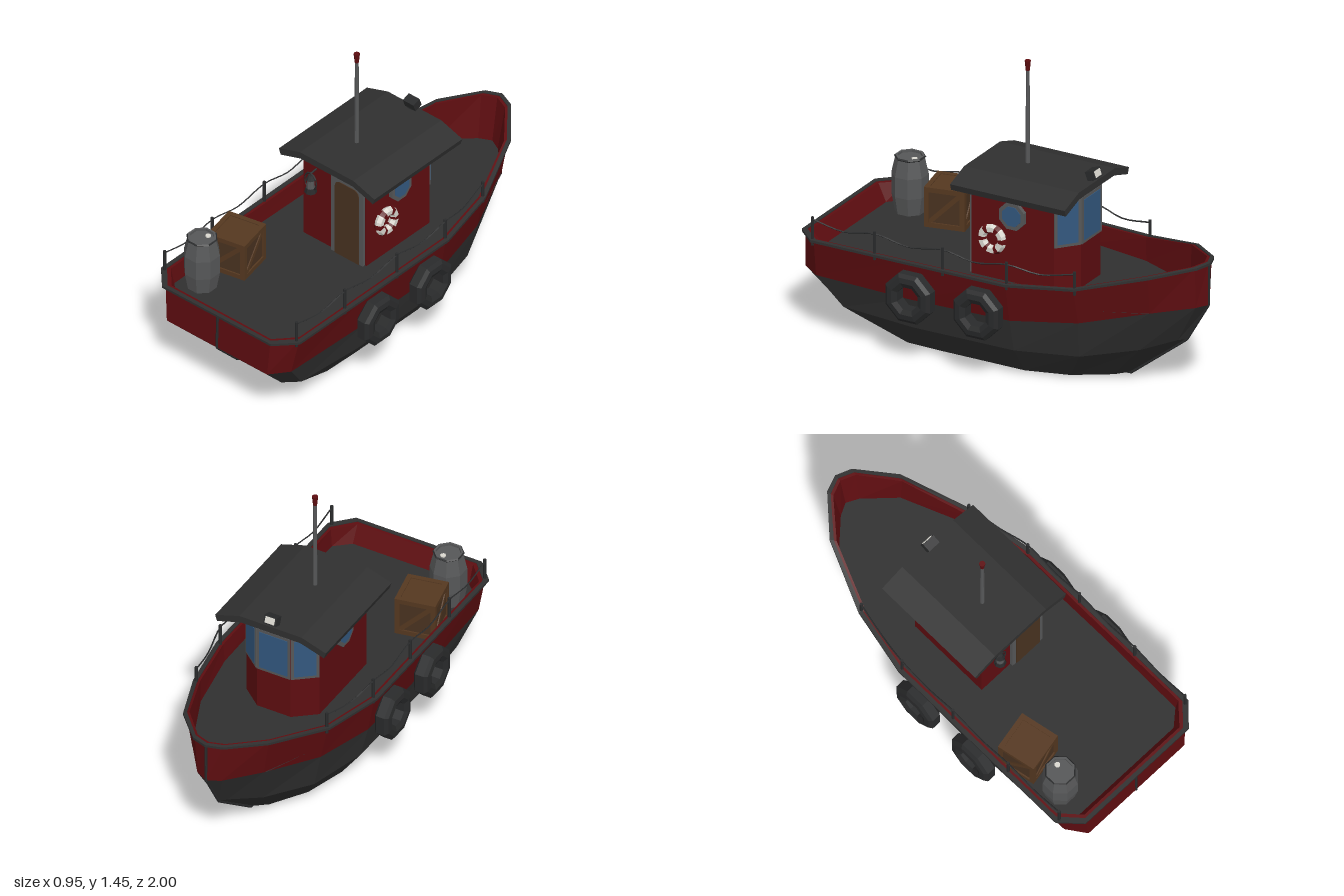
import * as THREE from 'three';

const mat = (name, color) => { const m = new THREE.MeshStandardMaterial({ color }); m.name = name; return m; };

export function createModel() {
  const red = mat('dark red paint', 0x5e0d10);
  const dark = mat('charcoal paint', 0x303030);
  const rubber = mat('black rubber', 0x292a2b);
  const grey = mat('grey metal', 0x565758);
  const glass = mat('blue glass', 0x33587f);
  const wood = mat('crate wood', 0x553820);
  const door = mat('dark wood', 0x493220);
  const white = mat('white paint', 0xdad8d0);

  const boat = new THREE.Group();
  boat.name = 'boat';

  // Faceted mesh helper
  function add(name, geo, material, pos = [0, 0, 0], rot = [0, 0, 0], parent = boat) {
    const g = geo.index ? geo.toNonIndexed() : geo;
    g.computeVertexNormals();
    const m = new THREE.Mesh(g, material);
    m.name = name;
    m.position.set(...pos);
    m.rotation.set(...rot);
    parent.add(m);
    return m;
  }
  function group(name, pos, rotY = 0) {
    const g = new THREE.Group();
    g.name = name;
    g.position.set(...pos);
    g.rotation.y = rotY;
    boat.add(g);
    return g;
  }
  const box = (x, y, z) => new THREE.BoxGeometry(x, y, z);
  const cyl = (a, b, h, n = 8) => new THREE.CylinderGeometry(a, b, h, n);
  function bar(name, a, b, r, material, parent = boat, sides = 6) {
    const p = new THREE.Vector3(...a), q = new THREE.Vector3(...b);
    const m = add(name, cyl(r, r, p.distanceTo(q), sides), material, [0, 0, 0], [0, 0, 0], parent);
    m.position.copy(p).add(q).multiplyScalar(0.5);
    m.quaternion.setFromUnitVectors(new THREE.Vector3(0, 1, 0), q.sub(p).normalize());
    return m;
  }

  // Skin between closed rings, with optional flat ends
  function loft(rings, floor = false, top = false) {
    const v = [], n = rings[0].length, tri = (...p) => p.forEach(q => v.push(...q));
    for (let k = 0; k + 1 < rings.length; k++) {
      for (let i = 0; i < n; i++) {
        const j = (i + 1) % n, lo = rings[k], hi = rings[k + 1];
        tri(lo[i], lo[j], hi[j]);
        tri(lo[i], hi[j], hi[i]);
      }
    }
    const last = rings[rings.length - 1];
    for (let i = 1; i < n - 1; i++) {
      if (floor) tri(rings[0][0], rings[0][i + 1], rings[0][i]);
      if (top) tri(last[0], last[i], last[i + 1]);
    }
    const g = new THREE.BufferGeometry();
    g.setAttribute('position', new THREE.Float32BufferAttribute(v, 3));
    return g;
  }
  // Half outline from stern corner to bow tip, mirrored to a full ring
  function ring(xs, ys, zs) {
    const half = xs.map((x, i) => [x, ys[i], zs[i]]);
    return [...half, ...half.slice(0, -1).reverse().map(([x, y, z]) => [-x, y, z])];
  }
  const scaled = (r, sx, sz, dy) => r.map(([x, y, z]) => [x * sx, y + dy, z * sz]);

  // Hull
  const bottom = ring([.235, .235, .24, .24, .18, .07, .02, 0], Array(8).fill(.012),
    [.49, .45, .3, -.14, -.35, -.52, -.56, -.57]);
  const chine = ring([.27, .33, .345, .34, .27, .14, .03, 0], [.17, .165, .15, .15, .16, .2, .24, .24],
    [.85, .78, .4, -.14, -.45, -.7, -.84, -.87]);
  const paintLine = ring([.31, .375, .38, .38, .315, .19, .065, 0], [.32, .315, .305, .315, .35, .42, .44, .44],
    [.995, .9, .4, -.14, -.47, -.78, -.955, -.99]);
  const rail = ring([.335, .43, .43, .43, .365, .23, .08, 0], [.513, .513, .513, .515, .54, .62, .65, .655],
    [1, .9, .4, -.14, -.47, -.8, -.97, -1]);
  const deck = ring([.31, .385, .39, .385, .33, .2, .06, 0], Array(8).fill(.42),
    [.925, .86, .4, -.14, -.46, -.77, -.9, -.93]);
  add('lowerHull', loft([bottom, chine, paintLine], true), dark);
  add('upperHull', loft([paintLine, scaled(rail, .965, .988, -.004), scaled(rail, .92, .965, -.004), deck]), red);
  add('deck', loft([deck], false, true), dark);
  const capRings = [scaled(rail, .95, .98, -.014), scaled(rail, 1, 1, -.012), rail,
    scaled(rail, .95, .98, 0), scaled(rail, .95, .98, -.014)];
  add('railCap', loft(capRings), dark);

  // Keel, stem and stern strip
  const spine = [[.505, .992], [.32, .994], [.17, .85], [.007, .49], [.007, -.57], [.24, -.87], [.44, -.987], [.65, -.99]];
  for (let i = 0; i + 1 < spine.length; i++) {
    bar('keelStrip', [0, ...spine[i]], [0, ...spine[i + 1]], .007, rubber);
  }

  // Cabin with a three-sided front
  const plan = [[.195, .17], [.195, -.27], [.09, -.355], [-.09, -.355], [-.195, -.27], [-.195, .17]];
  const wall = y => plan.map(([x, z]) => [x, y, z]);
  add('cabinWalls', loft([wall(.415), wall(.9)], false, true), red);
  for (let i = 1; i < 4; i++) {
    const [ax, az] = plan[i], [bx, bz] = plan[i + 1];
    const w = Math.hypot(bx - ax, bz - az);
    const g = group('frontWindow', [(ax + bx) / 2, .758, (az + bz) / 2], Math.atan2(az - bz, bx - ax) + Math.PI);
    g.rotation.y = Math.atan2(-(bz - az), bx - ax);
    add('windowFrame', box(w - .002, .235, .012), grey, [0, 0, 0], [0, 0, 0], g);
    add('windowGlass', box(w - .03, .205, .018), glass, [0, 0, 0], [0, 0, 0], g);
  }
  for (const s of [-1, 1]) {
    add('portholeRim', cyl(.072, .072, .03).rotateY(Math.PI / 8), grey, [s * .2, .76, -.055], [0, 0, Math.PI / 2]);
    add('portholeGlass', cyl(.052, .052, .036).rotateY(Math.PI / 8), glass, [s * .2, .76, -.055], [0, 0, Math.PI / 2]);
  }

  // Roof with drooping sides
  const roof = new THREE.Shape([[-.295, .892], [-.285, .86], [-.16, .9], [.16, .9], [.285, .86], [.295, .892],
    [.165, .935], [-.165, .935]].map(p => new THREE.Vector2(...p)));
  add('roof', new THREE.ExtrudeGeometry(roof, { depth: .615, bevelEnabled: false }), dark, [0, 0, -.387]);

  // Door
  add('doorFrame', box(.195, .44, .02), grey, [.0875, .64, .175]);
  const leaf = new THREE.Shape([[.014, .42], [.163, .42], [.163, .81], [.155, .832], [.137, .842], [.04, .842],
    [.022, .832], [.014, .81]].map(p => new THREE.Vector2(...p)));
  add('door', new THREE.ExtrudeGeometry(leaf, { depth: .006, bevelEnabled: false }), door, [0, 0, .183]);

  // Mast and searchlight
  add('mast', cyl(.009, .011, .48), grey, [-.02, 1.17, -.005]);
  add('mastTip', cyl(.015, .01, .05), red, [-.02, 1.426, -.005]);
  const lamp = group('searchlight', [0, .962, -.37]);
  add('lampStand', box(.03, .04, .02), rubber, [0, -.018, .005], [0, 0, 0], lamp);
  add('lampBody', box(.066, .045, .045), rubber, [0, .004, 0], [.35, 0, 0], lamp);
  add('lampLens', box(.05, .032, .006), white, [0, .012, -.021], [.35, 0, 0], lamp);

  // Hanging lantern
  const lantern = group('lantern', [-.115, .77, .21]);
  add('lanternBase', cyl(.024, .03, .025), rubber, [0, -.037, 0], [0, 0, 0], lantern);
  add('lanternGlass', cyl(.015, .02, .05), grey, [0, 0, 0], [0, 0, 0], lantern);
  add('lanternCap', cyl(.012, .024, .025), rubber, [0, .035, 0], [0, 0, 0], lantern);
  add('lanternHandle', new THREE.TorusGeometry(.036, .004, 4, 12).scale(1, 1.35, 1), rubber, [0, .01, 0], [0, 0, 0], lantern);
  bar('lanternHook', [0, .055, 0], [0, .06, -.04], .005, rubber, lantern);

  // Life ring
  const life = group('lifeRing', [.213, .625, .05], Math.PI / 2);
  add('lifeRingBody', new THREE.TorusGeometry(.053, .022, 6, 16), white, [0, 0, 0], [0, 0, 0], life);
  for (let i = 0; i < 6; i++) {
    add('lifeRingBand', new THREE.TorusGeometry(.053, .0245, 6, 2, .36), red, [0, 0, 0], [0, 0, i * Math.PI / 3 - .18], life);
  }

  // Tyre fenders, rail posts and sagging ropes on both sides
  const tyre = [[.06, -.028], [.085, -.04], [.112, -.036], [.13, -.022], [.13, .022], [.112, .036], [.085, .04],
    [.06, .028], [.06, -.028]].map(p => new THREE.Vector2(...p));
  const posts = [[.408, .51, .9], [.41, .51, .565], [.41, .51, .2], [.408, .513, -.14], [.348, .535, -.47]];
  for (const s of [-1, 1]) {
    for (const z of [.36, -.005]) {
      add('tyreFender', new THREE.LatheGeometry(tyre, 8).rotateY(Math.PI / 8), rubber, [s * .435, .345, z], [0, 0, Math.PI / 2]);
    }
    const path = [];
    posts.forEach(([x, y, z], i) => {
      bar('railPost', [s * x, y - .03, z], [s * x, .622, z], .008, rubber);
      path.push(new THREE.Vector3(s * x, .61, z));
      const next = posts[i + 1];
      if (next) path.push(new THREE.Vector3(s * (x + next[0]) / 2, .583, (z + next[2]) / 2));
    });
    add('railRope', new THREE.TubeGeometry(new THREE.CatmullRomCurve3(path), 32, .004, 4), rubber);
  }

  // Barrel
  const barrel = group('barrel', [-.283, .42, .78], Math.PI / 8);
  const stave = [[0, 0], [.072, 0], [.088, .09], [.088, .19], [.07, .27], [.07, .282], [.06, .282], [.06, .27], [0, .27]];
  add('barrelBody', new THREE.LatheGeometry(stave.map(p => new THREE.Vector2(...p)), 8), grey, [0, 0, 0], [0, 0, 0], barrel);
  add('barrelRim', new THREE.TorusGeometry(.07, .006, 4, 8).rotateX(Math.PI / 2), rubber, [0, .276, 0], [0, 0, 0], barrel);
  add('barrelPlug', cyl(.014, .014, .008), white, [.022, .272, -.024], [0, 0, 0], barrel);

  // Crate with framed, braced sides
  const crate = group('crate', [-.27, .521, .552], .2);
  add('cratePanels', box(.185, .185, .185), door, [0, 0, 0], [0, 0, 0], crate);
  const faces = [[0, 0], [0, Math.PI / 2], [0, Math.PI], [0, -Math.PI / 2], [-Math.PI / 2, 0], [Math.PI / 2, 0]];
  faces.forEach(([rx, ry], i) => {
    const f = new THREE.Group();
    f.name = 'crateSide';
    f.rotation.set(rx, ry, 0);
    crate.add(f);
    for (const s of [-1, 1]) {
      add('crateSlat', box(.2, .024, .01), wood, [0, s * .088, .095], [0, 0, 0], f);
      add('crateSlat', box(.024, .152, .01), wood, [s * .088, 0, .095], [0, 0, 0], f);
    }
    if (i < 4) add('crateBrace', box(.215, .022, .006), wood, [0, 0, .095], [0, 0, Math.PI / 4], f);
    else add('crateLid', box(.152, .152, .004), wood, [0, 0, .094], [0, 0, 0], f);
  });

  return boat;
}
